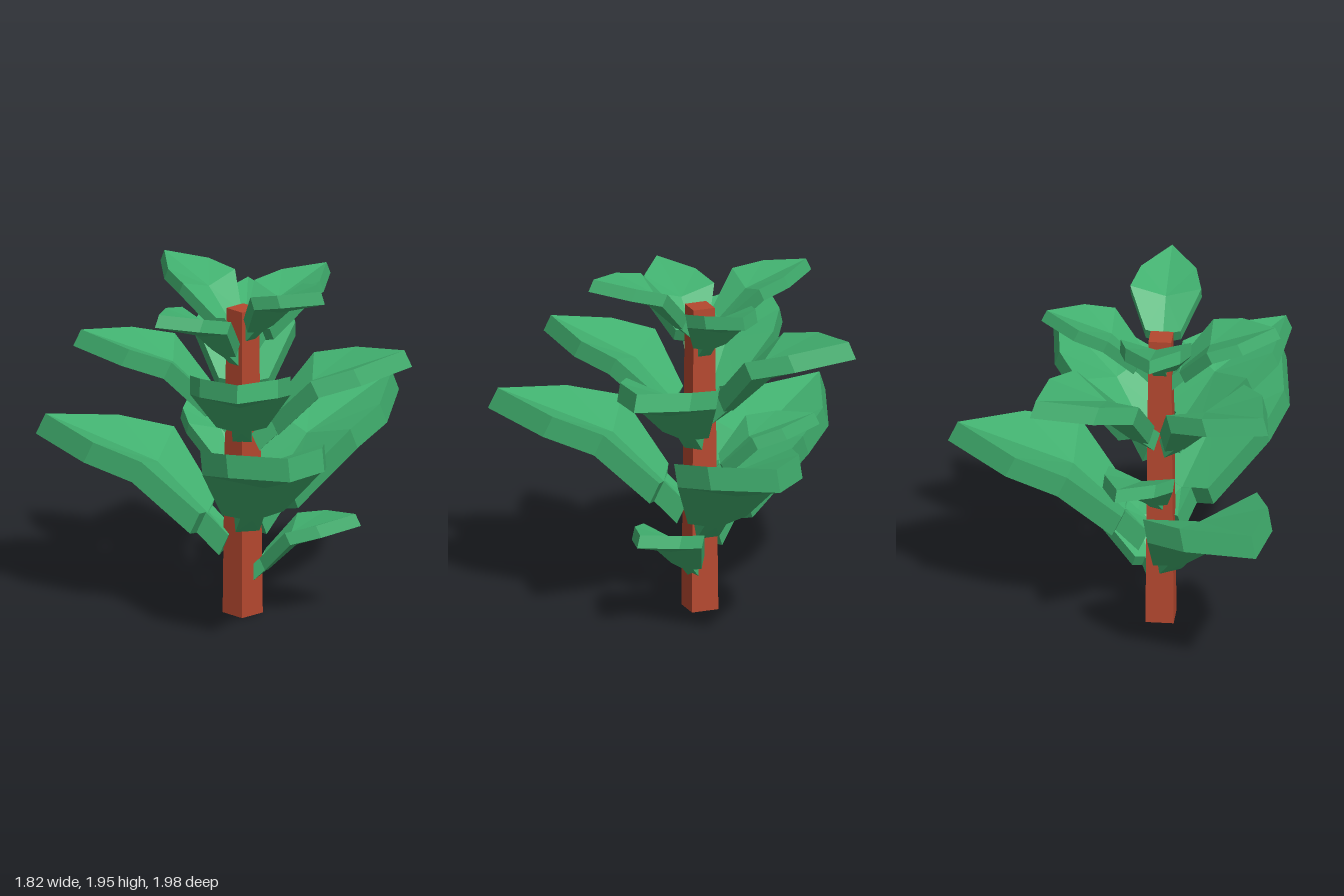
import * as THREE from 'three';

const STEM_X = -0.257, STEM_Z = -0.008, STEM_HEIGHT = 1.72;

// Leaf ribs from stalk to tip: distance out, height below tip, half width, crease depth
const RIBS = [
  [0.035, -0.33, 0.037, 0],
  [0.105, -0.262, 0.037, 0.012],
  [0.11, -0.25, 0.096, 0.025],
  [0.267, -0.07, 0.193, 0.054],
  [0.43, -0.033, 0.15, 0.034],
  [0.62, 0, 0, 0],
];
const BEND = 3; // the rib where the leaf turns outward

// A thick, creased leaf pointing along +x, with its tip at y = 0
function leafGeometry() {
  const rings = RIBS.map(([r, y, w, crease]) => {
    const top = [[r, y, -w], [r, y - crease, 0], [r, y, w]];
    const bottom = top.map(([a, b, c]) => [a + 0.03, b - 0.066, c]).reverse();
    return [...top, ...bottom].map((p) => new THREE.Vector3(...p));
  });

  const positions = [];
  const tri = (a, b, c) => {
    const area = b.clone().sub(a).cross(c.clone().sub(a)).length();
    if (area > 1e-7) for (const p of [a, b, c]) positions.push(p.x, p.y, p.z);
  };

  for (let i = 0; i < rings.length - 1; i++) {
    for (let j = 0; j < 6; j++) {
      const k = (j + 1) % 6;
      const a = rings[i][j], b = rings[i][k], c = rings[i + 1][k], d = rings[i + 1][j];
      // Facets fan symmetrically out of the crease at the bend
      if ((j % 3 === 0) !== (i < BEND)) {
        tri(a, b, d);
        tri(b, c, d);
      } else {
        tri(a, b, c);
        tri(a, c, d);
      }
    }
  }
  // Stalk end
  for (let j = 1; j < 5; j++) tri(rings[0][0], rings[0][j + 1], rings[0][j]);

  const geometry = new THREE.BufferGeometry();
  geometry.setAttribute('position', new THREE.Float32BufferAttribute(positions, 3));
  geometry.computeVertexNormals();
  return geometry;
}

// Tiers: name, scale, and [heading in degrees from +x towards +z, tip height]
const TIERS = [
  ['topLeaf', 1, [[0, 1.85], [90, 1.95], [180, 1.81], [270, 1.91]]],
  ['upperLeaf', 1.41, [[45, 1.49], [135, 1.55], [225, 1.59], [315, 1.63]]],
  ['largeLeaf', 1.78, [[0, 1.137], [120.3, 1.197], [238, 1.037]]],
  ['smallLeaf', 1, [[53.5, 0.59], [287, 1.09]]],
];

export function createModel() {
  const leafGreen = new THREE.MeshStandardMaterial({ color: 0x41b06f });
  leafGreen.name = 'leafGreen';
  leafGreen.flatShading = true;
  const stemRed = new THREE.MeshStandardMaterial({ color: 0xb5482f });
  stemRed.name = 'stemRed';
  stemRed.flatShading = true;

  const plant = new THREE.Group();
  plant.name = 'plant';

  // Square tapered stem
  const stem = new THREE.Mesh(
    new THREE.CylinderGeometry(0.062 * Math.SQRT2, 0.077 * Math.SQRT2, STEM_HEIGHT, 4)
      .rotateY(Math.PI / 4),
    stemRed
  );
  stem.name = 'stem';
  stem.position.set(STEM_X, STEM_HEIGHT / 2, STEM_Z);
  plant.add(stem);

  // Leaves, all the same shape at different sizes
  const geometry = leafGeometry();
  for (const [name, scale, places] of TIERS) {
    places.forEach(([heading, tipHeight], i) => {
      const leaf = new THREE.Mesh(geometry, leafGreen);
      leaf.name = `${name}${i + 1}`;
      leaf.scale.setScalar(scale);
      leaf.rotation.y = -THREE.MathUtils.degToRad(heading);
      leaf.position.set(STEM_X, tipHeight, STEM_Z);
      plant.add(leaf);
    });
  }
  return plant;
}
